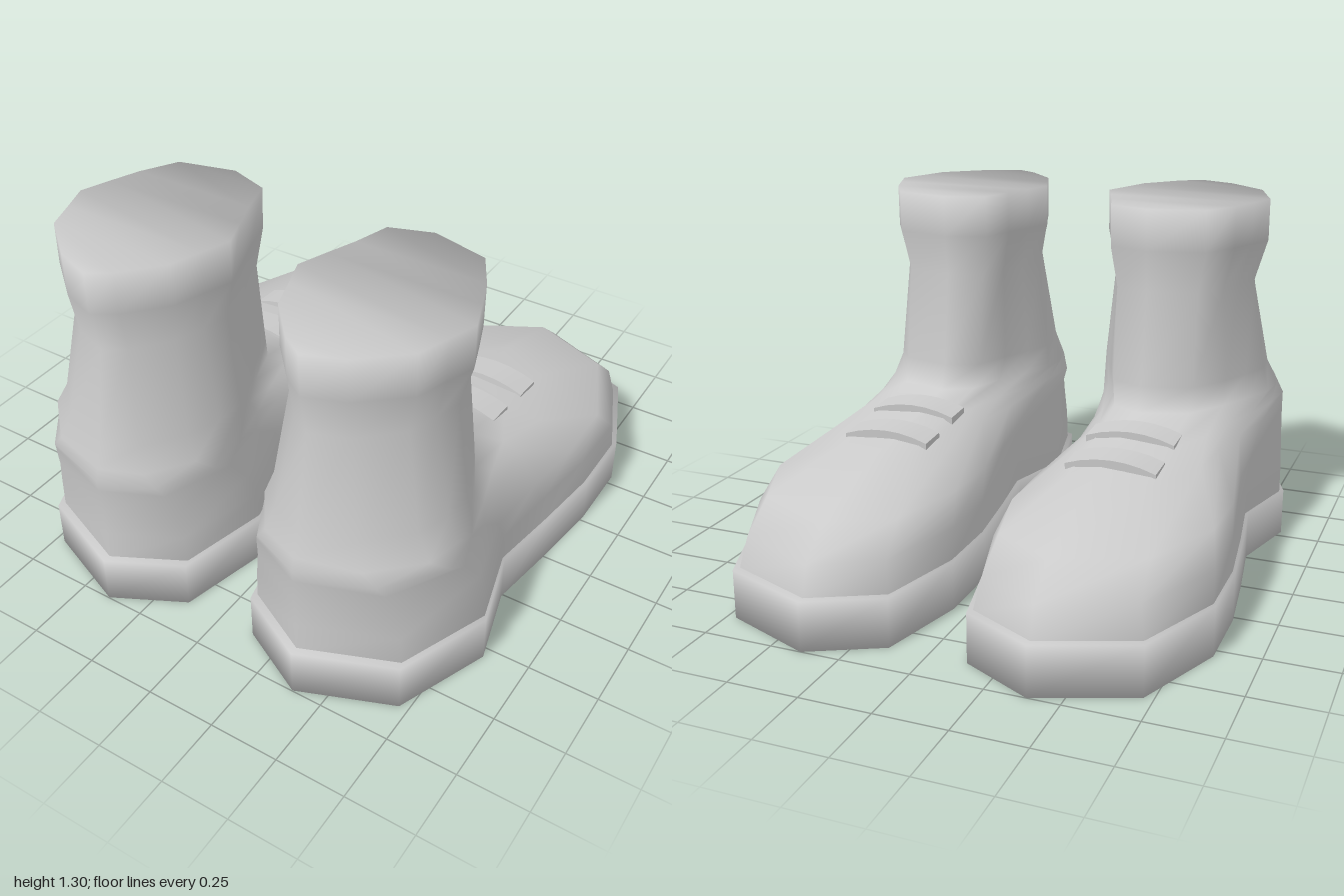
import * as THREE from 'three';

const grey = new THREE.MeshStandardMaterial({ color: 0xcccccc });

// Stations along a ring, from toe (0) to heel (1), shared by every cross-section
const STATIONS = [0.065, 0.23, 0.365, 0.5, 0.63, 0.77, 0.935];

// Closed outline for one shoe, starting at the toe; s = +1 or -1 chooses the side
function ring({ y, front, back, cx, w }, s) {
  const at = (u, x) => new THREE.Vector3(s * x, y, front + (back - front) * u);
  const centre = (i) => (i === 0 || i === 6 ? (0.4 + cx) / 2 : cx);
  const edge = (sign) => STATIONS.map((u, i) => at(u, centre(i) + sign * w[i]));
  return [at(0, 0.39), ...edge(s), at(1, 0.39), ...edge(-s).reverse()];
}

// Skin over stacked rings; caps lists { ring, up }, blended softly into the sides
function loft(rings, caps) {
  const n = rings[0].length;
  const index = [];
  for (let r = 0; r < rings.length - 1; r++) {
    for (let i = 0; i < n; i++) {
      const a = r * n + i, b = r * n + (i + 1) % n;
      index.push(a, a + n, b, b, a + n, b + n);
    }
  }
  const g = new THREE.BufferGeometry().setFromPoints(rings.flat());
  g.setIndex(index);
  g.computeVertexNormals();

  const normals = g.attributes.normal;
  for (const { ring: r, up } of caps) {
    const tri = (...t) => index.push(...(up ? t.reverse() : t).map((k) => r * n + k));
    for (let i = 1; i < n / 2; i++) {
      tri(i, n - i, (n - i + 1) % n);
      tri(i, i + 1, n - i);
    }
    for (let k = r * n; k < (r + 1) * n; k++) normals.setY(k, normals.getY(k) + (up ? 0.8 : -0.8));
  }
  g.setIndex(index);
  g.normalizeNormals();
  return g;
}

// Sole outline, repeated at the bottom and the top
const SOLE = { front: -1, back: 0.998, cx: 0.455, w: [0.29, 0.395, 0.395, 0.36, 0.32, 0.395, 0.29] };

// Contours of the boot from the welt, over the instep, up to the cuff
const UPPER = [
  { y: 0.17, front: -0.97, back: 0.968, cx: 0.455, w: [0.28, 0.385, 0.385, 0.35, 0.31, 0.382, 0.28] },
  { y: 0.28, front: -0.94, back: 0.968, cx: 0.455, w: [0.26, 0.38, 0.375, 0.34, 0.31, 0.38, 0.275] },
  { y: 0.38, front: -0.82, back: 0.97, cx: 0.455, w: [0.25, 0.35, 0.355, 0.325, 0.31, 0.37, 0.26] },
  { y: 0.48, front: -0.48, back: 0.975, cx: 0.452, w: [0.14, 0.235, 0.25, 0.28, 0.32, 0.355, 0.24] },
  { y: 0.52, front: -0.2, back: 0.978, cx: 0.45, w: [0.13, 0.20, 0.24, 0.29, 0.33, 0.345, 0.22] },
  { y: 0.57, front: 0.09, back: 0.965, cx: 0.445, w: [0.14, 0.21, 0.27, 0.325, 0.335, 0.305, 0.18] },
  { y: 0.66, front: 0.12, back: 0.94, cx: 0.437, w: [0.15, 0.22, 0.27, 0.313, 0.305, 0.265, 0.15] },
  { y: 1.0, front: 0.165, back: 0.88, cx: 0.43, w: [0.15, 0.2, 0.237, 0.27, 0.245, 0.21, 0.1] },
  { y: 1.15, front: 0.145, back: 0.908, cx: 0.435, w: [0.175, 0.23, 0.27, 0.308, 0.272, 0.235, 0.105] },
  { y: 1.3, front: 0.138, back: 0.91, cx: 0.435, w: [0.175, 0.23, 0.27, 0.308, 0.272, 0.235, 0.105] },
];

// Flat strap bent down over the instep
function laceGeometry() {
  const g = new THREE.BoxGeometry(0.32, 0.03, 0.11, 6, 1, 1);
  const p = g.attributes.position;
  for (let i = 0; i < p.count; i++) p.setY(i, p.getY(i) - 1.2 * p.getX(i) ** 2);
  g.computeVertexNormals();
  return g;
}

function createShoe(s) {
  const shoe = new THREE.Group();
  const add = (name, geometry) => {
    const mesh = new THREE.Mesh(geometry, grey);
    mesh.name = name;
    shoe.add(mesh);
    return mesh;
  };

  const soleRings = [0, 0.175].map((y) => ring({ ...SOLE, y }, s));
  add('sole', loft(soleRings, [{ ring: 0, up: false }, { ring: 1, up: true }]));

  // The cuff is closed flat across the top
  add('upper', loft(UPPER.map((r) => ring(r, s)), [{ ring: UPPER.length - 1, up: true }]));

  for (const [y, z] of [[0.55, -0.047], [0.52, -0.265]]) {
    const lace = add('lace', laceGeometry());
    lace.position.set(s * 0.42, y, z);
    lace.rotation.x = -0.07;
  }
  return shoe;
}

export function createModel() {
  const model = new THREE.Group();
  model.name = 'pairOfBoots';
  for (const s of [1, -1]) {
    const shoe = createShoe(s);
    shoe.name = s > 0 ? 'leftBoot' : 'rightBoot';
    model.add(shoe);
  }
  return model;
}
